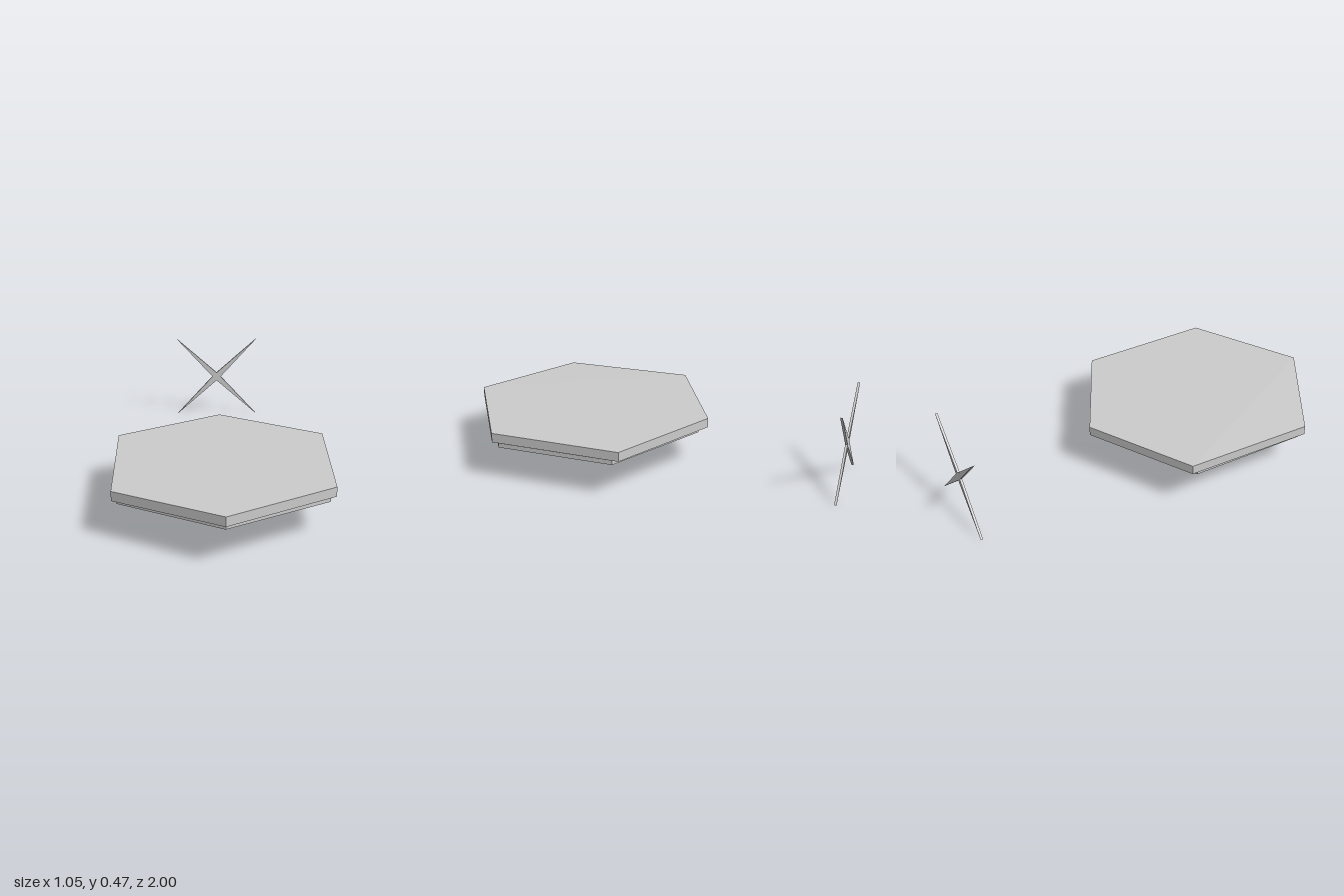
import * as THREE from 'three';

const material = new THREE.MeshStandardMaterial({ color: 0xcccccc, flatShading: true });

// Flat hexagonal slab lying in xz; corners are [x, z] pairs
function slab(name, corners, bottom, top) {
  const shape = new THREE.Shape(corners.map(([x, z]) => new THREE.Vector2(x, -z)));
  const geometry = new THREE.ExtrudeGeometry(shape, { depth: top - bottom, bevelEnabled: false });
  geometry.rotateX(-Math.PI / 2).translate(0, bottom, 0);
  const mesh = new THREE.Mesh(geometry, material);
  mesh.name = name;
  return mesh;
}

// Six corners with two apexes on the centre line
const hexagon = (halfWidth, back, backSide, frontSide, front) => [
  [0, front], [halfWidth, frontSide], [halfWidth, backSide],
  [0, back], [-halfWidth, backSide], [-halfWidth, frontSide],
];

export function createModel() {
  const group = new THREE.Group();
  group.name = 'hexagonPlatesAndStar';

  // Upper plate, with its front corner on the -x side sagging slightly
  const upper = slab('upperPlate', hexagon(0.527, -0.275, 0.017, 0.692, 1), 0.211, 0.26);
  const pos = upper.geometry.attributes.position;
  for (let i = 0; i < pos.count; i++) {
    if (pos.getX(i) < -0.5 && pos.getZ(i) > 0.5) pos.setY(i, pos.getY(i) - 0.011);
  }
  upper.geometry.computeVertexNormals();
  group.add(upper);

  // Thinner, slightly smaller plate underneath
  group.add(slab('lowerPlate', hexagon(0.503, -0.225, 0.06, 0.67, 0.953), 0.175, 0.198));

  // Thin four-pointed star standing behind the plates
  const star = new THREE.Shape();
  const points = [];
  for (let i = 0; i < 8; i++) {
    const angle = (i * Math.PI) / 4;
    const radius = i % 2 ? 0.329 : 0.024;
    points.push(new THREE.Vector2(Math.cos(angle) * radius, Math.sin(angle) * radius));
  }
  star.setFromPoints(points);
  const starMesh = new THREE.Mesh(
    new THREE.ExtrudeGeometry(star, { depth: 0.012, bevelEnabled: false }), material);
  starMesh.name = 'star';
  starMesh.position.set(0, 0.233, -1);
  group.add(starMesh);

  return group;
}
